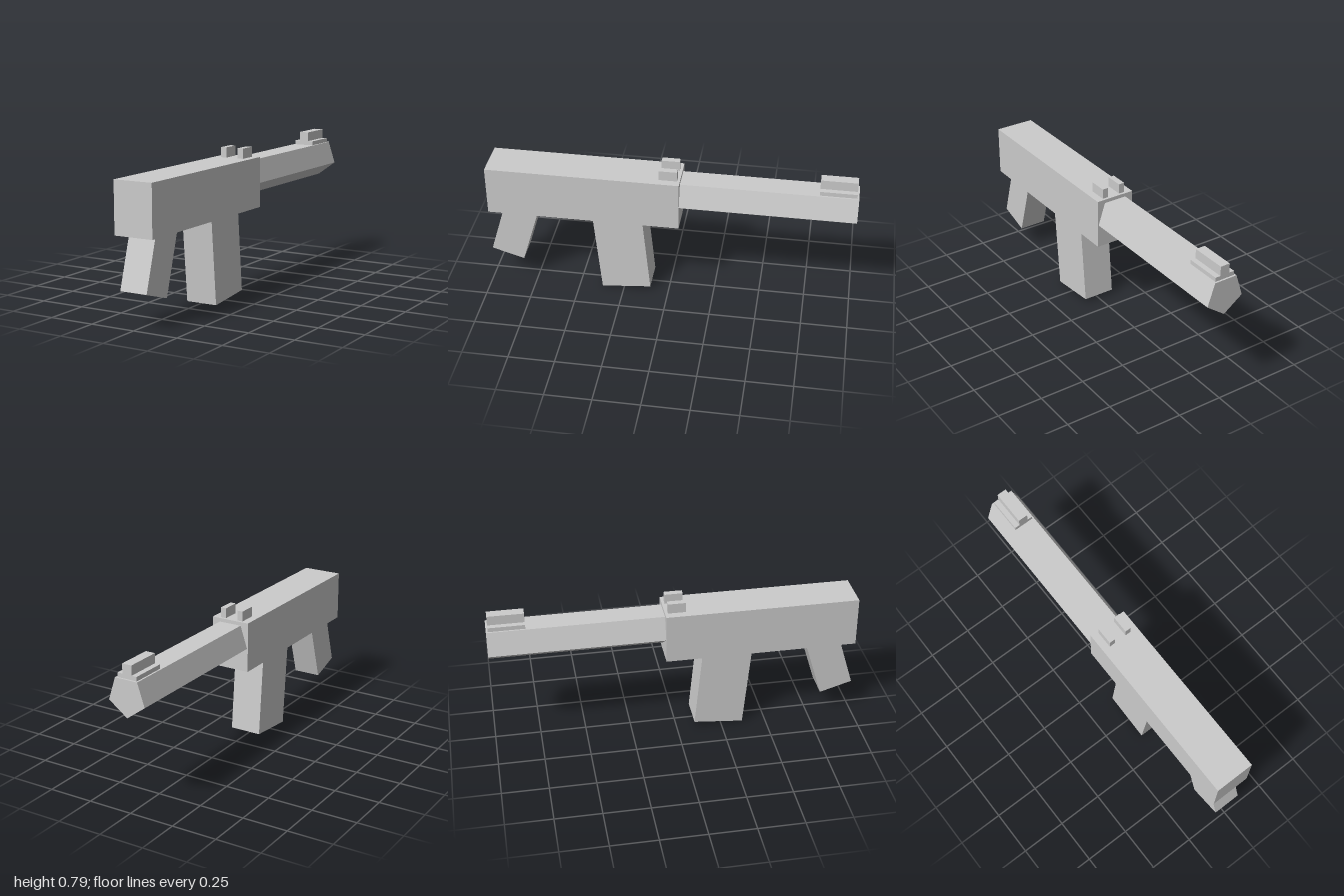
import * as THREE from 'three';

export function createModel() {
  const group = new THREE.Group();
  const material = new THREE.MeshStandardMaterial({ color: 0xcccccc, flatShading: true });

  const add = (name, geometry, x, y, z) => {
    const mesh = new THREE.Mesh(geometry, material);
    mesh.name = name;
    mesh.position.set(x, y, z);
    group.add(mesh);
    return mesh;
  };

  // Box given by its minimum and maximum on each axis
  const box = (name, [x0, x1], [y0, y1], [z0, z1]) =>
    add(name, new THREE.BoxGeometry(x1 - x0, y1 - y0, z1 - z0),
      (x0 + x1) / 2, (y0 + y1) / 2, (z0 + z1) / 2);

  // Box tilted about x, placed by the middle of its lower end; its top sinks into the body
  const tiltedBox = (name, width, length, depth, y, z, angle) => {
    const geometry = new THREE.BoxGeometry(width, length, depth).translate(0, length / 2, 0);
    add(name, geometry, 0, y, z).rotation.x = angle;
  };

  // Main body
  box('body', [-0.11, 0.11], [0.46, 0.735], [-0.06, 0.99]);

  // Five-sided barrel, flat side up and one edge down
  const radius = 0.1105;
  const pentagon = new THREE.Shape();
  for (let i = 0; i < 5; i++) {
    const a = -Math.PI / 2 + (i * Math.PI * 2) / 5;
    pentagon[i ? 'lineTo' : 'moveTo'](radius * Math.cos(a), radius * Math.sin(a));
  }
  pentagon.closePath();
  add('barrel', new THREE.ExtrudeGeometry(pentagon, { depth: 0.95, bevelEnabled: false }),
    0, 0.6255, -1);

  // Slanted handle and magazine
  tiltedBox('grip', 0.154, 0.4, 0.185, 0.162, 0.908, -0.297);
  tiltedBox('magazine', 0.178, 0.52, 0.272, 0.0135, 0.236, 0.092);

  // Sight at the end of the barrel
  box('frontSightBase', [-0.056, 0.056], [0.71, 0.738], [-0.99, -0.795]);
  box('frontSightBlade', [-0.027, 0.027], [0.738, 0.79], [-0.99, -0.795]);

  // Pair of sight posts on the body
  for (const side of [-1, 1]) {
    const post = box('rearSightPost', [-0.0165, 0.0165], [0.73, 0.79], [-0.045, 0.053]);
    post.position.x = side * 0.0515;
  }

  return group;
}
